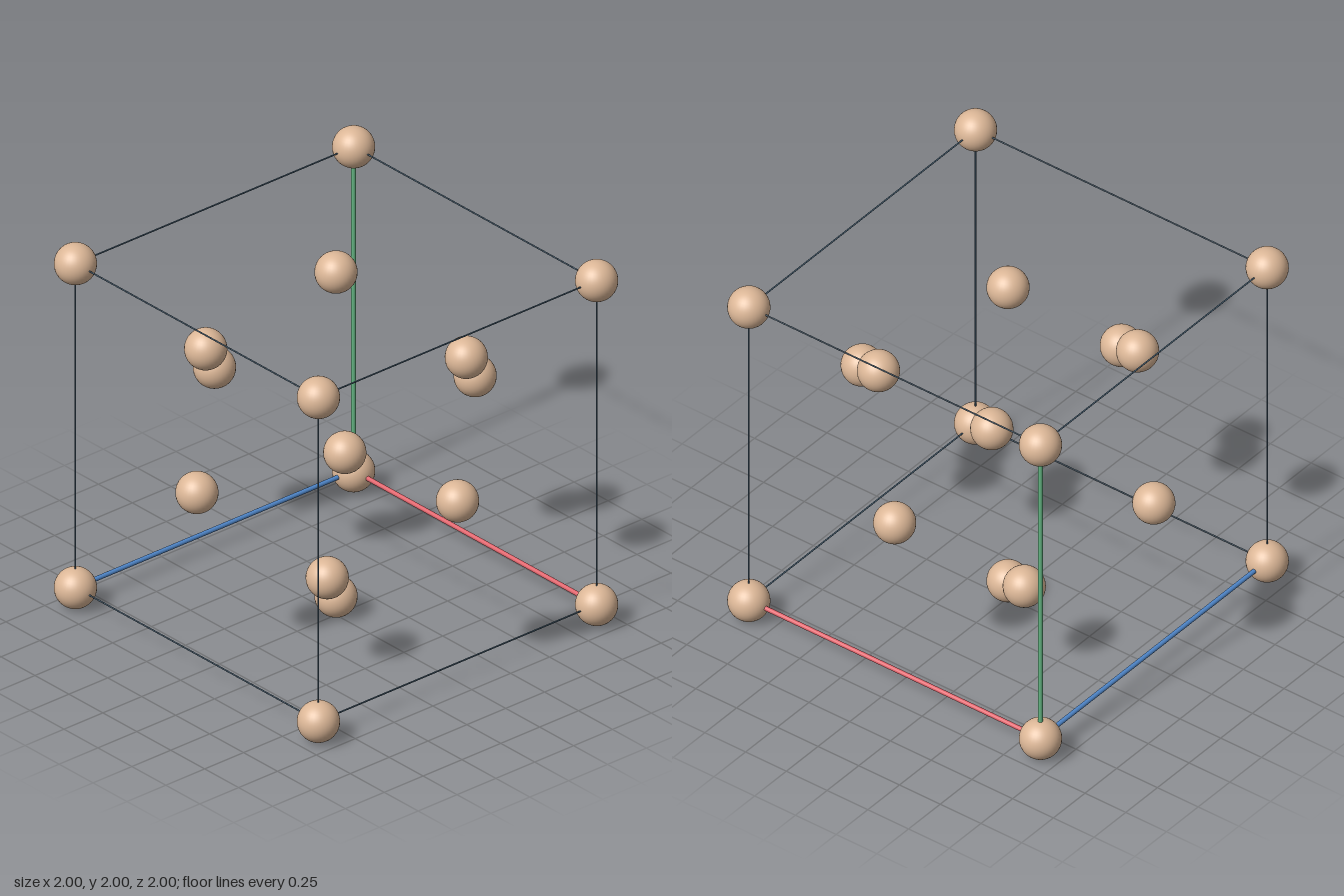
import * as THREE from 'three';

const H = 0.895; // half the cell side
const R = 0.105; // atom radius
const CY = 1; // height of the cell centre

function material(name, color) {
  const m = new THREE.MeshStandardMaterial({ color });
  m.name = name;
  return m;
}

export function createModel() {
  const tan = material('tan', 0xdcb797);
  const slate = material('slate blue', 0x4a6478);
  const axisMaterials = [
    material('red', 0xe0646c),
    material('green', 0x64b482),
    material('blue', 0x5088cc),
  ];

  const model = new THREE.Group();
  model.name = 'crystalCell';
  const cell = new THREE.Group();
  cell.name = 'unitCell';
  cell.position.y = CY;
  model.add(cell);

  // Atoms, placed in units of the half side
  const sphere = new THREE.SphereGeometry(R, 32, 24);
  function addAtom(name, x, y, z) {
    const atom = new THREE.Mesh(sphere, tan);
    atom.name = name;
    atom.position.set(x, y, z).multiplyScalar(H);
    cell.add(atom);
  }
  const signs = [-1, 1];
  for (const x of signs) for (const y of signs) for (const z of signs) {
    addAtom('cornerAtom', x, y, z);
    // Alternate octants hold the inner tetrahedron
    if (x * y * z < 0) addAtom('innerAtom', x / 2, y / 2, z / 2);
  }
  for (const s of signs) {
    addAtom('faceAtom', s, 0, 0);
    addAtom('faceAtom', 0, s, 0);
    addAtom('faceAtom', 0, 0, s);
  }

  // Cell edges: three thick coloured axes meet at one corner, the rest are thin
  const thin = new THREE.CylinderGeometry(0.004, 0.004, 2 * H, 8);
  const thick = new THREE.CylinderGeometry(0.012, 0.012, 2 * H, 16);
  const up = new THREE.Vector3(0, 1, 0);
  const axisNames = ['xAxis', 'yAxis', 'zAxis'];
  for (let i = 0; i < 3; i++) {
    const dir = new THREE.Vector3().setComponent(i, 1);
    for (const a of signs) for (const b of signs) {
      const isAxis = a < 0 && b < 0;
      const rod = new THREE.Mesh(isAxis ? thick : thin, isAxis ? axisMaterials[i] : slate);
      rod.name = isAxis ? axisNames[i] : 'cellEdge';
      rod.position.setComponent((i + 1) % 3, a * H).setComponent((i + 2) % 3, b * H);
      rod.quaternion.setFromUnitVectors(up, dir);
      cell.add(rod);
    }
  }
  return model;
}
